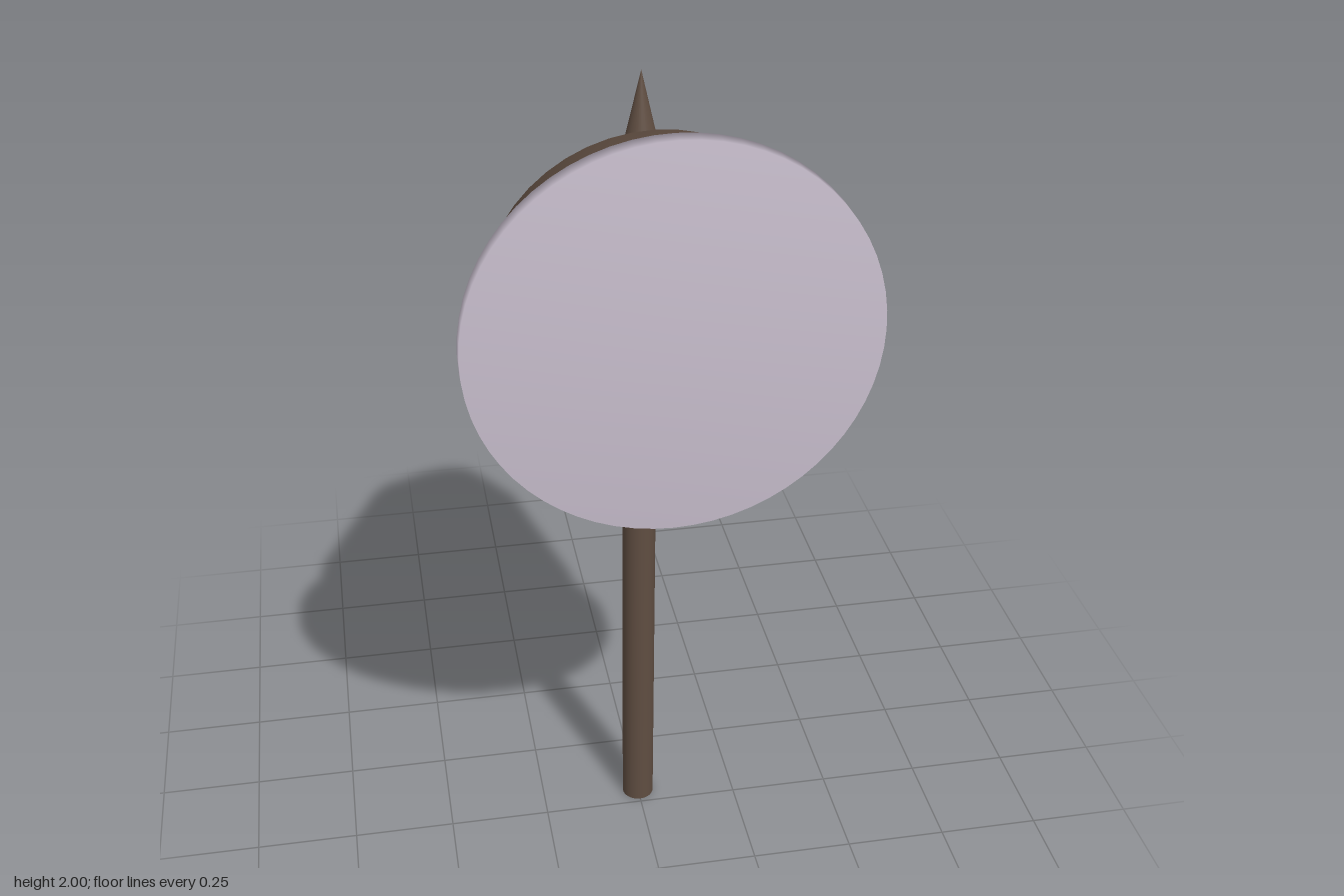
import * as THREE from 'three';

export function createModel() {
  const group = new THREE.Group();
  const brown = new THREE.MeshStandardMaterial({ color: 0x5f4d41 });
  brown.name = 'dark wood';
  const pale = new THREE.MeshStandardMaterial({ color: 0xc9bfce });
  pale.name = 'pale metal';

  const add = (name, geometry, material, x, y, z) => {
    const mesh = new THREE.Mesh(geometry, material);
    mesh.name = name;
    mesh.position.set(x, y, z);
    group.add(mesh);
    return mesh;
  };

  // Hammer head: elliptical rings [z, top, bottom, half width], front to back
  const rings = [
    [0.575, 1.96, 1.15, 0.405],
    [0.36, 1.925, 1.18, 0.372],
    [-0.14, 1.675, 1.2, 0.235],
    [-0.32, 1.487, 1.203, 0.142],
    [-0.45, 1.338, 1.175, 0.08],
    [-0.61, 1.1, 1.098, 0.001],
  ];
  const sides = 48;
  const positions = [];
  const index = [];
  for (const [z, top, bottom, width] of rings) {
    for (let j = 0; j < sides; j++) {
      const a = (j / sides) * Math.PI * 2;
      positions.push(
        width * Math.cos(a),
        (top + bottom) / 2 + ((top - bottom) / 2) * Math.sin(a),
        z
      );
    }
  }
  for (let i = 0; i < rings.length - 1; i++) {
    for (let j = 0; j < sides; j++) {
      const k = (j + 1) % sides;
      const a = i * sides + j, b = a + sides;
      const d = i * sides + k, c = d + sides;
      index.push(a, b, c, a, c, d);
    }
  }
  const head = new THREE.BufferGeometry();
  head.setAttribute('position', new THREE.Float32BufferAttribute(positions, 3));
  head.setIndex(index);
  head.computeVertexNormals();
  // Brown barrel, then the pale drooping beak
  const split = 2 * sides * 6;
  head.addGroup(0, split, 0);
  head.addGroup(split, index.length - split, 1);
  add('hammerHead', head, [brown, pale], 0, 0, 0);

  // Striking plate with softly shaded rim
  const r = 0.443;
  const plate = new THREE.LatheGeometry(
    [[0, -0.02], [r, -0.02], [r, 0.02], [0, 0.02]].map(([x, y]) => new THREE.Vector2(x, y)),
    64
  );
  plate.rotateX(Math.PI / 2);
  add('strikingPlate', plate, pale, 0, 1.555, 0.59);

  // Handle, collar and top spike
  add('handle', new THREE.CylinderGeometry(0.04, 0.04, 1.25, 32), brown, 0, 0.625, 0.2);
  add('collar', new THREE.CylinderGeometry(0.06, 0.06, 0.05, 32), pale, 0, 1.195, 0.2);
  add('topSpike', new THREE.ConeGeometry(0.042, 0.18, 32), brown, 0, 1.908, 0.2);

  return group;
}
